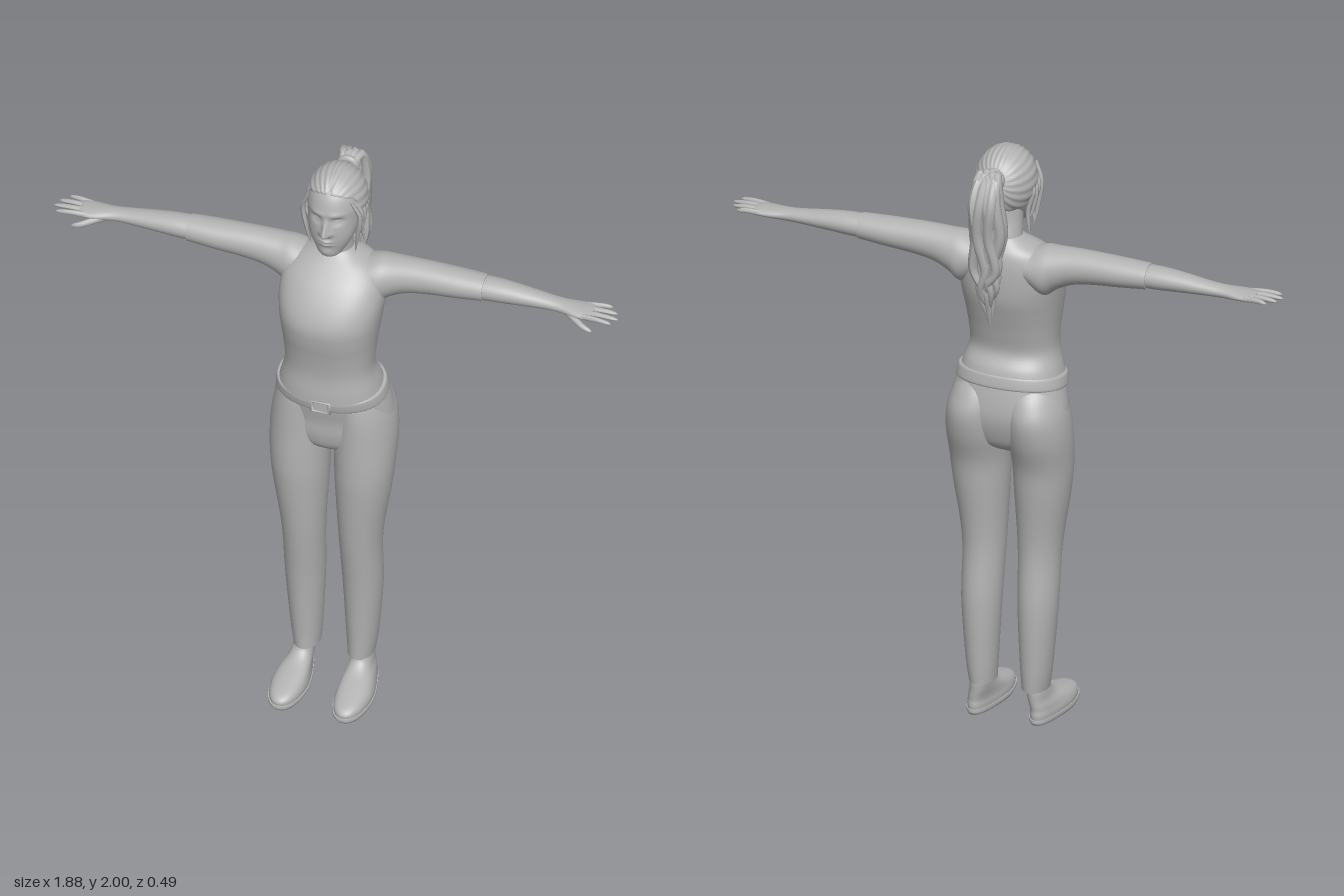
import * as THREE from 'three';

const grey = new THREE.MeshStandardMaterial({ color: 0xb2b2b2 });
grey.name = 'grey';

const bump = (d, w) => Math.exp(-(d * d) / (w * w));
const step = THREE.MathUtils.smoothstep;

function catmull(a, b, c, d, t) {
  return 0.5 * (2 * b + (c - a) * t + (2 * a - 5 * b + 4 * c - d) * t * t + (3 * b - a - 3 * c + d) * t * t * t);
}

// Smooth skin over sections [t, u, v, ru, rv], t ascending.
// Axis y: (u, t, v) is (x, y, z). Axis x: (t, v, u) is (x, y, z).
function loft(sections, { axis = 'y', seg = 40, sub = 5, power = 2, rule } = {}) {
  const rings = [];
  const at = i => sections[Math.min(Math.max(i, 0), sections.length - 1)];
  for (let i = 0; i < sections.length - 1; i++)
    for (let k = 0; k < sub; k++)
      rings.push(at(i).map((_, j) => catmull(at(i - 1)[j], at(i)[j], at(i + 1)[j], at(i + 2)[j], k / sub)));
  rings.push(at(sections.length - 1));

  const pos = [], idx = [];
  const put = (t, u, v) => {
    const p = axis === 'y' ? new THREE.Vector3(u, t, v) : new THREE.Vector3(t, v, u);
    if (rule) rule(p);
    pos.push(p.x, p.y, p.z);
  };
  const ring = ([t, u, v, ru, rv]) => {
    for (let k = 0; k < seg; k++) {
      const a = k / seg * Math.PI * 2, c = Math.cos(a), s = Math.sin(a);
      put(t, u + ru * Math.sign(c) * Math.abs(c) ** (2 / power), v + rv * Math.sign(s) * Math.abs(s) ** (2 / power));
    }
  };
  rings.forEach(ring);
  for (let i = 0; i < rings.length - 1; i++)
    for (let k = 0; k < seg; k++) {
      const a = i * seg + k, b = i * seg + (k + 1) % seg;
      idx.push(a, a + seg, b, b, a + seg, b + seg);
    }
  // end caps with their own corners
  [rings[0], rings[rings.length - 1]].forEach((r, end) => {
    const start = pos.length / 3;
    ring(r);
    put(r[0], r[1], r[2]);
    for (let k = 0; k < seg; k++) {
      const a = start + k, b = start + (k + 1) % seg;
      idx.push(start + seg, ...(end ? [b, a] : [a, b]));
    }
  });
  const g = new THREE.BufferGeometry();
  g.setAttribute('position', new THREE.Float32BufferAttribute(pos, 3));
  g.setIndex(idx);
  g.computeVertexNormals();
  return g;
}

// Tube along points whose radius follows taper(0..1)
function strand(points, radius, taper, seg = 24, sides = 8) {
  const curve = new THREE.CatmullRomCurve3(points.map(p => new THREE.Vector3(...p)));
  const g = new THREE.TubeGeometry(curve, seg, radius, sides);
  const p = g.attributes.position, v = new THREE.Vector3();
  for (let i = 0; i < p.count; i++) {
    const t = Math.floor(i / (sides + 1)) / seg, c = curve.getPointAt(t);
    v.fromBufferAttribute(p, i).sub(c).multiplyScalar(taper(t)).add(c);
    p.setXYZ(i, v.x, v.y, v.z);
  }
  g.computeVertexNormals();
  return g;
}
const fingerTaper = t => (1 - 0.25 * t) * Math.sqrt(Math.max(0, 1 - t ** 8));
const hairTaper = t => Math.max(0, Math.sin(Math.PI * (0.1 + 0.9 * t))) ** 0.6;

// Nose, eye sockets, brow, lips and chin
function shapeFace(p) {
  if (p.z < 0.03) return;
  const { x, y } = p, ax = Math.abs(x);
  const ridge = y > 1.82 ? 1 - step(y, 1.82, 1.885) : step(y, 1.803, 1.82);
  p.z += 0.03 * bump(x, 0.009 + 0.007 * bump(y - 1.818, 0.015)) * ridge;
  p.z -= 0.013 * bump(ax - 0.034, 0.017) * bump(y - 1.866, 0.013);
  p.z += 0.006 * bump(ax - 0.034, 0.011) * bump(y - 1.864, 0.006);
  p.z += 0.004 * bump(ax - 0.03, 0.025) * bump(y - 1.89, 0.009);
  p.z += 0.008 * bump(x, 0.02) * (bump(y - 1.789, 0.005) + bump(y - 1.776, 0.006));
  p.z += 0.006 * bump(x, 0.022) * bump(y - 1.742, 0.013);
}

// Combed hair cap that sinks under the skin around the face
function hairCap() {
  const g = new THREE.SphereGeometry(1, 96, 64), p = g.attributes.position;
  for (let i = 0; i < p.count; i++) {
    const x = p.getX(i), y = p.getY(i), z = p.getZ(i);
    const a = Math.atan2(x, y - 0.25);
    let r = 1 + 0.014 * Math.sin(Math.abs(a) * 22 + 3 * z) * step(Math.hypot(x, y - 0.25), 0, 0.5);
    r -= 0.03 * bump(x, 0.04) * step(z, -0.2, 0.3) * step(y, 0, 0.5);
    const face = step(z, 0.42, 0.56) * (1 - step(y, 0.48 - 0.3 * x * x, 0.62 - 0.3 * x * x));
    const nape = 1 - step(y, -0.92, -0.6);
    r *= 1 - 0.3 * face - 0.15 * nape;
    p.setXYZ(i, x * r * 0.098, 1.885 + y * r * 0.115, -0.028 + z * r * 0.113);
  }
  g.computeVertexNormals();
  return g;
}

export function createModel() {
  const model = new THREE.Group();
  const add = (name, geometry) => {
    const m = new THREE.Mesh(geometry, grey);
    m.name = name;
    model.add(m);
    return m;
  };

  // Sweater body, its hem sloping down to the front
  const tilt = p => { p.y -= 0.13 * p.z * (1 - step(p.y, 1.2, 1.32)); };
  add('sweaterBody', loft([
    [1.205, 0, 0.028, 0.168, 0.128], [1.235, 0, 0.032, 0.16, 0.123], [1.29, 0, 0.042, 0.145, 0.109],
    [1.36, 0, 0.04, 0.148, 0.12], [1.43, 0, 0.037, 0.157, 0.137], [1.49, 0, 0.03, 0.165, 0.147],
    [1.55, 0, 0.015, 0.17, 0.138], [1.61, 0, -0.006, 0.162, 0.116], [1.655, 0, -0.025, 0.13, 0.088],
    [1.685, 0, -0.033, 0.075, 0.062], [1.7, 0, -0.033, 0.052, 0.05]], { seg: 64, power: 2.25, rule: tilt }));

  // Trousers seat, waistband and buckle
  add('trouserSeat', loft([
    [0.935, 0, 0.01, 0.04, 0.04], [0.97, 0, 0.005, 0.12, 0.09], [1.02, 0, 0, 0.185, 0.11],
    [1.08, 0, -0.005, 0.196, 0.118], [1.14, 0, 0.003, 0.187, 0.121], [1.21, 0, 0.015, 0.168, 0.118]],
    { seg: 56, power: 2.2 }));
  add('waistband', loft([
    [1.17, 0, 0.016, 0.179, 0.127], [1.178, 0, 0.018, 0.182, 0.131], [1.207, 0, 0.024, 0.177, 0.131],
    [1.213, 0, 0.025, 0.172, 0.128]], { seg: 56, power: 2.2, rule: tilt }));
  add('buckleFrame', new THREE.TorusGeometry(0.026, 0.005, 8, 4, Math.PI * 2).rotateZ(Math.PI / 4).scale(1.5, 1, 1))
    .position.set(0.005, 1.175, 0.154);
  add('bucklePlate', new THREE.BoxGeometry(0.05, 0.026, 0.008)).position.set(0.005, 1.175, 0.152);

  // Neck and head
  add('neck', loft([[1.66, 0, -0.035, 0.06, 0.058], [1.7, 0, -0.032, 0.053, 0.054],
    [1.75, 0, -0.02, 0.05, 0.052], [1.8, 0, -0.015, 0.05, 0.052]]));
  add('head', loft([
    [1.716, 0, 0.045, 0.012, 0.016], [1.724, 0, 0.043, 0.034, 0.036], [1.745, 0, 0.034, 0.05, 0.048],
    [1.775, 0, 0.024, 0.066, 0.064], [1.81, 0, 0.01, 0.078, 0.08], [1.86, 0, -0.012, 0.086, 0.1],
    [1.9, 0, -0.02, 0.088, 0.105], [1.945, 0, -0.025, 0.078, 0.092], [1.975, 0, -0.025, 0.05, 0.06],
    [1.988, 0, -0.025, 0.01, 0.012]], { seg: 96, sub: 9, rule: shapeFace }));

  // Hair: cap, tie, ponytail locks and loose strands
  add('hairCap', hairCap());
  add('hairTie', new THREE.TorusGeometry(0.026, 0.012, 10, 24)).position.set(0, 1.93, -0.136);
  for (let i = 0; i < 17; i++) {
    const a = i * 2.4, d = Math.sqrt(i / 16), x = Math.cos(a) * d, z = Math.sin(a) * d;
    const wave = Math.sin(i * 1.9) * 0.012, end = 1.42 + 0.14 * ((i * 7) % 17) / 17;
    add('ponytailLock', strand([
      [x * 0.015, 1.925 + z * 0.015, -0.115], [x * 0.035, 1.957 - z * 0.012, -0.17],
      [x * 0.048, 1.88, -0.196 - z * 0.03], [x * 0.05 + wave, 1.76, -0.19 - z * 0.034],
      [x * 0.042 - wave, 1.64, -0.183 - z * 0.032], [x * 0.03 + wave, (1.64 + end) / 2, -0.182 - z * 0.028],
      [x * 0.012, end, -0.165 - z * 0.015]], 0.0185, hairTaper, 32, 8));
  }

  for (const s of [1, -1]) {
    const side = s > 0 ? 'left' : 'right';
    const alongX = list => s > 0 ? list : list.map(([t, ...r]) => [-t, ...r]).reverse();
    const mirror = list => list.map(([x, ...r]) => [s * x, ...r]);
    const place = list => list.map(([t, u, ...r]) => [t, s * u, ...r]);

    for (let i = 0; i < 4; i++)
      add(side + 'LooseStrand', strand(mirror([
        [0.07, 1.93 - i * 0.01, 0.045 - i * 0.022], [0.094, 1.87, 0.032 - i * 0.022],
        [0.086 - (i % 2) * 0.008, 1.79, 0.026 - i * 0.022], [0.074 + (i % 2) * 0.012, 1.715 + (i % 3) * 0.02, 0.014 - i * 0.02]]),
        0.008, hairTaper, 20, 6));
    add(side + 'Ear', new THREE.SphereGeometry(1, 16, 12).scale(0.009, 0.026, 0.016)).position.set(s * 0.09, 1.845, -0.012);

    // Sleeve, forearm and hand
    add(side + 'Sleeve', loft(alongX([
      [0.09, -0.03, 1.605, 0.08, 0.06], [0.14, -0.033, 1.596, 0.08, 0.084], [0.18, -0.035, 1.61, 0.069, 0.072],
      [0.23, -0.035, 1.623, 0.06, 0.061], [0.3, -0.035, 1.63, 0.056, 0.054], [0.4, -0.035, 1.633, 0.054, 0.048],
      [0.47, -0.035, 1.635, 0.05, 0.043], [0.492, -0.035, 1.635, 0.048, 0.042]]), { axis: 'x' }));
    add(side + 'Forearm', loft(alongX([
      [0.46, -0.035, 1.635, 0.045, 0.038], [0.53, -0.035, 1.636, 0.044, 0.037], [0.6, -0.035, 1.635, 0.039, 0.032],
      [0.7, -0.035, 1.631, 0.031, 0.023], [0.75, -0.033, 1.629, 0.031, 0.02], [0.8, -0.03, 1.628, 0.041, 0.017],
      [0.84, -0.03, 1.629, 0.043, 0.013], [0.855, -0.03, 1.63, 0.038, 0.008]]), { axis: 'x', seg: 32 }));
    [0.905, 0.93, 0.94, 0.925].forEach((tip, i) => {
      const z = -0.062 + i * 0.0215, spread = (i - 1.5) * 0.007;
      add(side + 'Finger', strand(mirror([[0.825, 1.629, z], [0.875, 1.632, z + spread * 0.6], [tip, 1.629, z + spread]]),
        0.0098, fingerTaper, 16, 10));
    });
    add(side + 'Thumb', strand(mirror([[0.765, 1.624, -0.018], [0.805, 1.614, 0.008], [0.84, 1.604, 0.026], [0.868, 1.598, 0.032]]),
      0.0125, fingerTaper, 16, 10));

    // Trouser leg
    add(side + 'TrouserLeg', loft(place([
      [0.115, 0.09, -0.003, 0.042, 0.062], [0.2, 0.093, -0.005, 0.051, 0.066], [0.4, 0.096, 0, 0.064, 0.075],
      [0.6, 0.095, 0.02, 0.07, 0.08], [0.8, 0.104, 0.02, 0.09, 0.1], [0.9, 0.107, 0.015, 0.097, 0.108],
      [1.0, 0.105, -0.003, 0.102, 0.123], [1.08, 0.101, -0.01, 0.098, 0.128], [1.14, 0.092, -0.002, 0.09, 0.117],
      [1.18, 0.085, 0.008, 0.08, 0.1]])));

    // Shoe, narrower at the heel, on a thin sole
    const narrow = p => { p.x = s * 0.107 + (p.x - s * 0.107) * (0.76 + 0.24 * step(p.z, -0.02, 0.14)); };
    add(side + 'Shoe', loft(place([
      [0.012, 0.107, 0.094, 0.058, 0.147], [0.03, 0.107, 0.093, 0.059, 0.148], [0.046, 0.106, 0.083, 0.056, 0.136],
      [0.062, 0.103, 0.056, 0.052, 0.11], [0.082, 0.097, 0.022, 0.046, 0.077], [0.105, 0.094, 0.003, 0.043, 0.059],
      [0.13, 0.091, -0.002, 0.04, 0.053]]), { power: 2.2, rule: narrow }));
    add(side + 'Sole', loft(place([[0, 0.107, 0.094, 0.058, 0.147], [0.008, 0.107, 0.095, 0.062, 0.153],
      [0.018, 0.107, 0.095, 0.062, 0.153]]), { power: 2.2, rule: narrow }));
  }
  return model;
}
